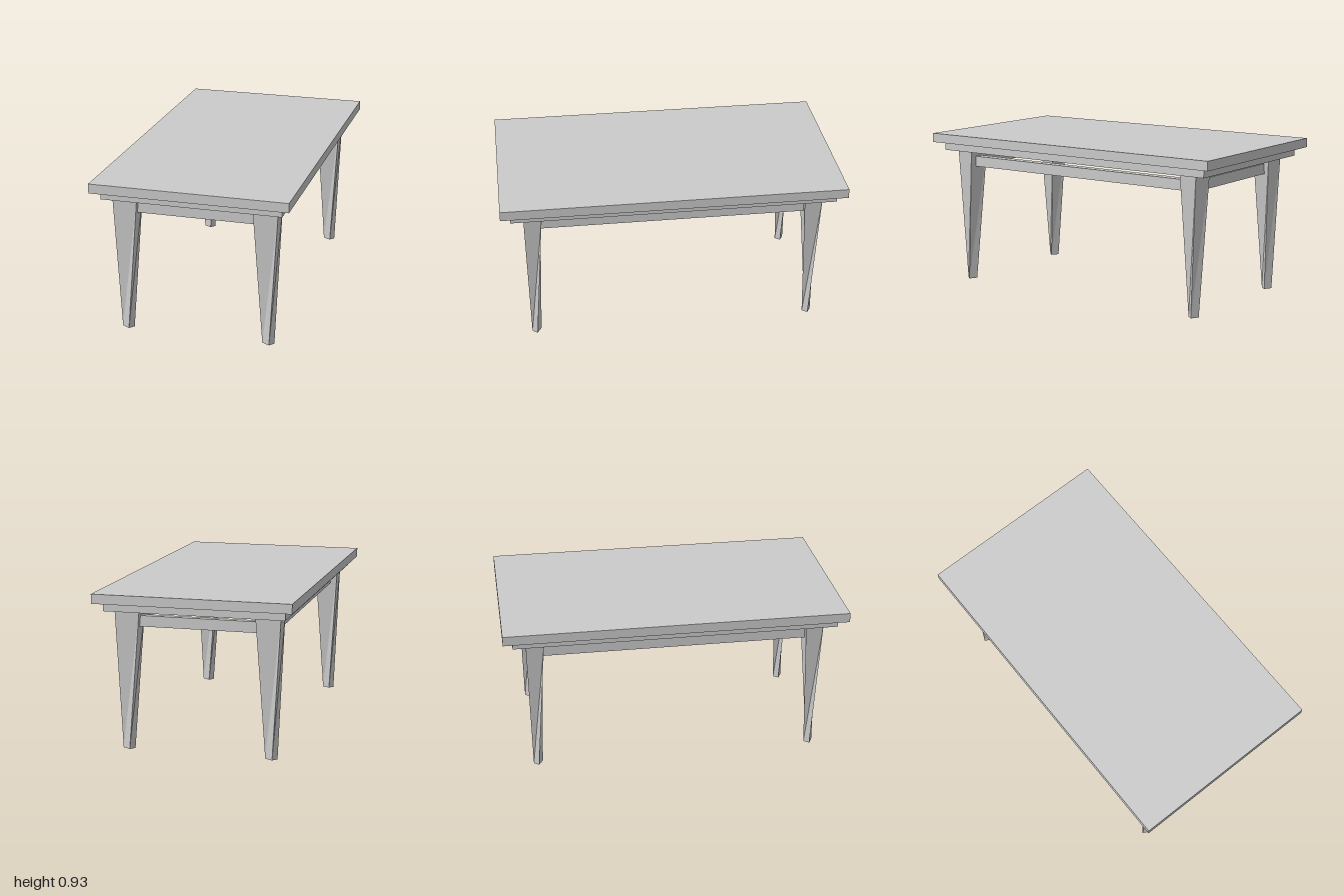
import * as THREE from 'three';

const material = new THREE.MeshStandardMaterial({ color: 0xcccccc, flatShading: true });

function addBox(group, name, width, height, depth, x, y, z) {
  const mesh = new THREE.Mesh(new THREE.BoxGeometry(width, height, depth), material);
  mesh.name = name;
  mesh.position.set(x, y, z);
  group.add(mesh);
}

// Tapered leg: rectangular at the top, with a smaller twisted foot
function legGeometry(sx, sz) {
  const top = { y: 0.82, x: 0.4075 * sx, z: 0.8175 * sz };
  const foot = { x: 0.42 * sx, z: 0.8275 * sz };
  const geometry = new THREE.BoxGeometry(2, 2, 2);
  const p = geometry.attributes.position;
  for (let i = 0; i < p.count; i++) {
    const x = p.getX(i), z = p.getZ(i);
    if (p.getY(i) > 0) {
      p.setXYZ(i, top.x + x * 0.0725, top.y, top.z + z * 0.0525);
    } else {
      p.setXYZ(i, foot.x + x * 0.0225 - z * 0.0125, 0, foot.z + x * 0.0125 + z * 0.015);
    }
  }
  geometry.computeVertexNormals();
  return geometry;
}

export function createModel() {
  const table = new THREE.Group();
  table.name = 'table';

  // Top slab and the smaller slab beneath it
  addBox(table, 'tabletop', 1.14, 0.055, 2, 0, 0.8975, 0);
  addBox(table, 'underTop', 1.04, 0.05, 1.89, 0, 0.845, 0);

  // Rails joining the legs, just below the top
  for (const s of [-1, 1]) {
    addBox(table, 'sideRail', 0.055, 0.063, 1.56, s * 0.4075, 0.7525, 0);
    addBox(table, 'endRail', 0.7, 0.063, 0.04, 0, 0.7525, s * 0.8175);
  }

  // Four legs, all twisted the same way
  for (const sx of [-1, 1]) {
    for (const sz of [-1, 1]) {
      const leg = new THREE.Mesh(legGeometry(sx, sz), material);
      leg.name = (sz > 0 ? 'front' : 'back') + (sx > 0 ? 'Left' : 'Right') + 'Leg';
      table.add(leg);
    }
  }
  return table;
}
